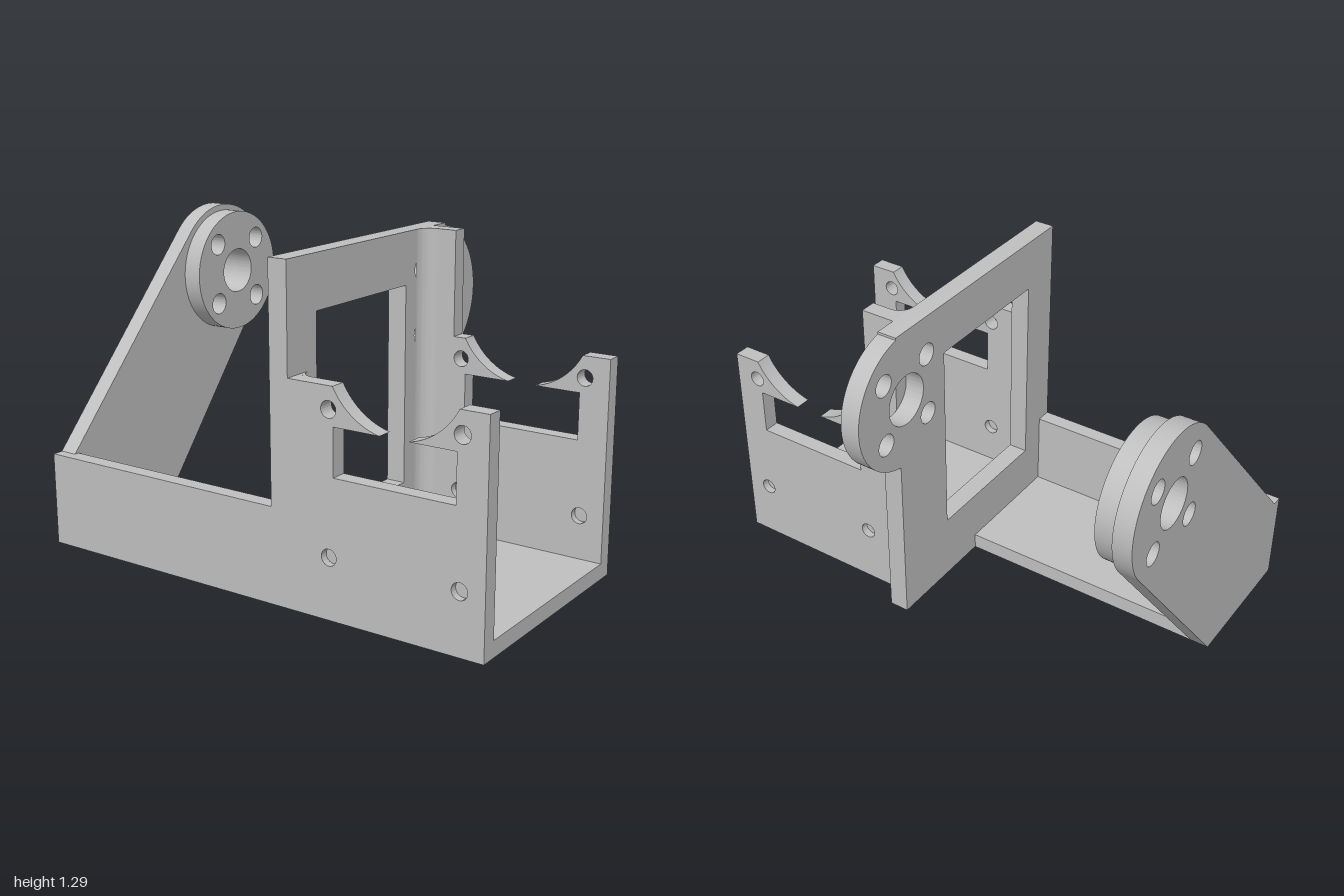
import * as THREE from 'three';
import { toCreasedNormals } from 'three/addons/utils/BufferGeometryUtils.js';

const PIVOT = { z: -0.36, y: 1.0, r: 0.285 }; // shared axis of both pivots

const polygon = (pts) => new THREE.Shape(pts.map(([a, b]) => new THREE.Vector2(a, b)));

function addHole(shape, x, y, r) {
  const hole = new THREE.Path();
  hole.absarc(x, y, r, 0, Math.PI * 2, true);
  shape.holes.push(hole);
}

function extrude(shape, depth) {
  const geo = new THREE.ExtrudeGeometry(shape, { depth, bevelEnabled: false, curveSegments: 48 });
  return toCreasedNormals(geo, 0.5);
}

// Centre bore and four bolt holes around the pivot axis
function addPivotHoles(shape, bore) {
  addHole(shape, PIVOT.z, PIVOT.y, bore);
  for (const a of [-0.13, 0.13]) {
    for (const b of [-0.13, 0.13]) addHole(shape, PIVOT.z + a, PIVOT.y + b, 0.045);
  }
}

export function createModel() {
  const group = new THREE.Group();
  const grey = new THREE.MeshStandardMaterial({ color: 0xbfbfbf });
  grey.name = 'grey';

  const add = (name, geo) => {
    const mesh = new THREE.Mesh(geo, grey);
    mesh.name = name;
    group.add(mesh);
    return mesh;
  };
  const box = (name, x0, x1, y0, y1, z0, z1) =>
    add(name, new THREE.BoxGeometry(x1 - x0, y1 - y0, z1 - z0))
      .position.set((x0 + x1) / 2, (y0 + y1) / 2, (z0 + z1) / 2);
  // Plate parallel to the YZ plane, its shape drawn in (z, y)
  const sidePlate = (name, shape, x0, x1) =>
    add(name, extrude(shape, x1 - x0).rotateY(-Math.PI / 2).translate(x1, 0, 0));

  // Floors
  box('trayFloor', 0.11, 1, 0, 0.065, -0.32, 0.645);
  box('armFloor', -1, 0.11, 0, 0.065, 0.08, 0.645);

  // Front and back plates with a round cradle notch opening into a slot
  const cradlePlate = (name, leftOutline, z0) => {
    const cx = 0.635, cy = 1.005, r = 0.286;
    const high = Math.atan2(-0.135, 0.252), low = Math.atan2(-0.28, 0.058);
    const s = new THREE.Shape();
    s.moveTo(1, 0);
    s.lineTo(1, 0.87);
    s.absarc(cx, cy, r, high, low, true);
    for (const [x, y] of [[0.88, 0.725], [0.88, 0.54], [0.385, 0.54], [0.385, 0.725]]) s.lineTo(x, y);
    s.absarc(cx, cy, r, -Math.PI - low, -Math.PI - high, true);
    for (const [x, y] of leftOutline) s.lineTo(x, y);
    for (const x of [0.365, 0.9]) {
      for (const y of [0.24, 0.785]) addHole(s, x, y, 0.032);
      // Lower holes are blind
      box('holeBottom', x - 0.033, x + 0.033, 0.207, 0.273, z0 + 0.03, z0 + 0.035);
    }
    add(name, extrude(s, 0.065).translate(0, 0, z0));
  };
  cradlePlate('frontPlate', [[0.15, 0.87], [0.15, 0.38], [-1, 0.38], [-1, 0]], 0.58);
  cradlePlate('backPlate', [[0.33, 0.87], [0.33, 1.29], [0.19, 1.29], [0.19, 0]], -0.32);

  // Middle wall with a window and a rounded pivot lobe
  const wall = polygon([[-0.41, 0], [0.645, 0], [0.645, 1.29], [-0.41, 1.29]]);
  const lobe = Math.acos((-0.41 - PIVOT.z) / PIVOT.r);
  wall.absarc(PIVOT.z, PIVOT.y, PIVOT.r, lobe, Math.PI * 2 - lobe, false);
  wall.holes.push(polygon([[-0.12, 0.275], [-0.12, 1.08], [0.47, 1.08], [0.47, 0.275]]));
  addPivotHoles(wall, 0.105);
  sidePlate('middleWall', wall, 0.11, 0.19);

  // Concave fillets where the wall meets the front and back plates
  const fillet = (name, z, dir, top) => {
    const r = 0.06, pts = [[0.19, -z]];
    for (let i = 0; i <= 12; i++) {
      const a = (i / 12) * Math.PI / 2;
      pts.push([0.19 + r - r * Math.sin(a), -z + dir * (r - r * Math.cos(a))]);
    }
    add(name, extrude(polygon(pts), top - 0.065).rotateX(-Math.PI / 2).translate(0, 0.065, 0));
  };
  fillet('frontFillet', 0.58, 1, 0.87);
  fillet('backFillet', -0.255, -1, 1.29);

  // Slanted arm, tangent to the pivot circle
  const arm = polygon([[0.08, 0], [0.6, 0], [0.6, 0.38]]);
  arm.absarc(PIVOT.z, PIVOT.y, PIVOT.r, 0.745, 3.82, false);
  addPivotHoles(arm, 0.095);
  sidePlate('pivotArm', arm, -1, -0.925);

  // Raised round boss on the inside of the arm
  const boss = new THREE.Shape();
  boss.absarc(PIVOT.z, PIVOT.y, 0.26, 0, Math.PI * 2, false);
  addPivotHoles(boss, 0.095);
  sidePlate('pivotBoss', boss, -0.925, -0.845);

  return group;
}
